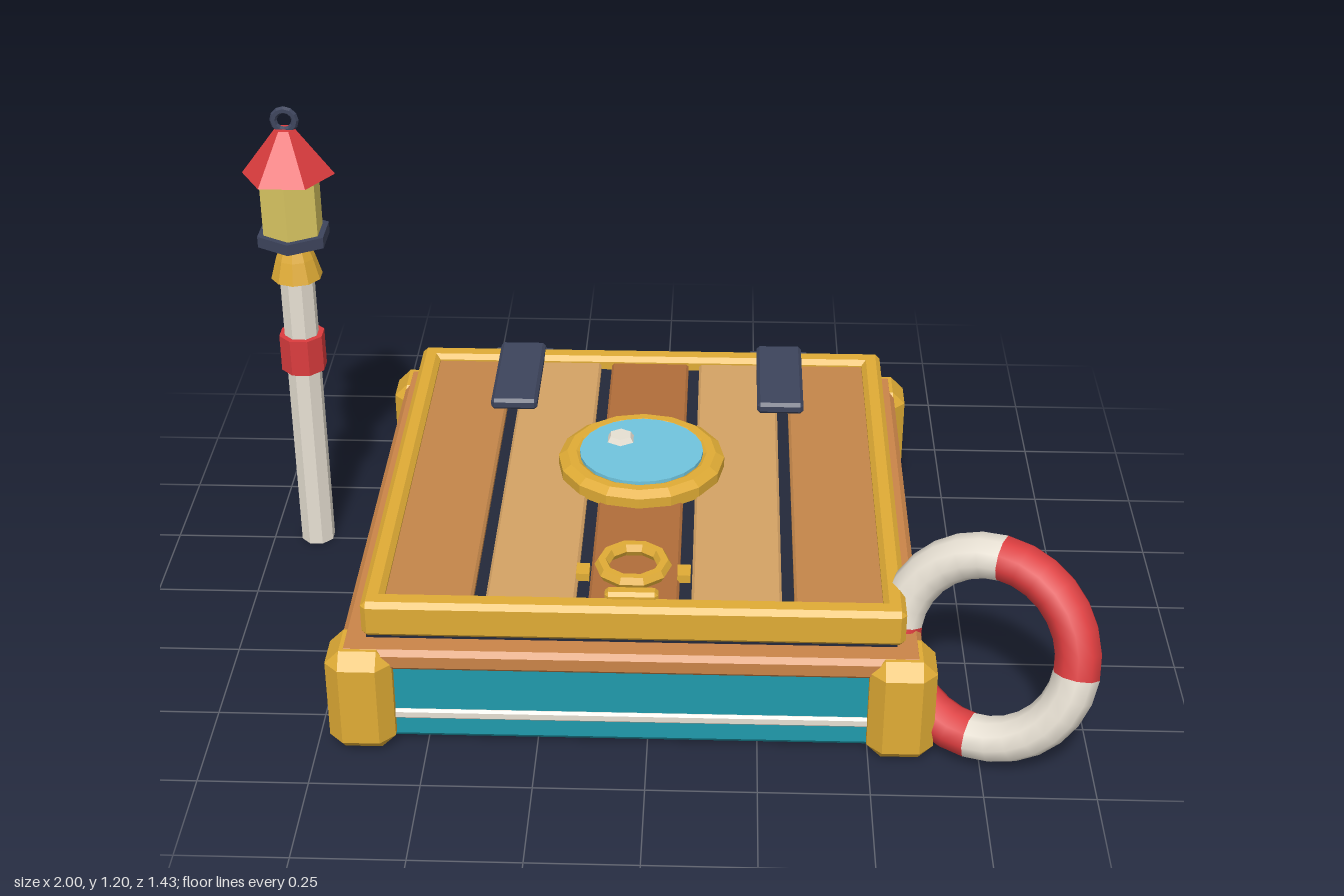
import * as THREE from 'three';
import { ConvexGeometry } from 'three/addons/geometries/ConvexGeometry.js';

const COLORS = {
  gold: 0xdfab35, teal: 0x1f9aac, navy: 0x3d445c, gap: 0x23283a, red: 0xdb3c3e, white: 0xe6dfd2,
  rim: 0xca8448, oak: 0xc4864a, pale: 0xd4a264, dark: 0xb06d3a, glass: 0x70c4dd, lamp: 0xdac762,
};
const mats = {};
function mat(color, flat = true) {
  const key = color + flat;
  return (mats[key] ??= new THREE.MeshStandardMaterial({ color: COLORS[color], flatShading: flat }));
}

function add(parent, name, geometry, color, x = 0, y = 0, z = 0, flat = true) {
  const mesh = new THREE.Mesh(geometry, mat(color, flat));
  mesh.name = name;
  mesh.position.set(x, y, z);
  parent.add(mesh);
  return mesh;
}

// Box with all twelve edges chamfered by c
function chamferBox(w, h, d, c) {
  const pts = [];
  for (const sx of [-1, 1]) for (const sy of [-1, 1]) for (const sz of [-1, 1]) {
    const x = w / 2, y = h / 2, z = d / 2;
    pts.push(new THREE.Vector3(sx * x, sy * (y - c), sz * (z - c)));
    pts.push(new THREE.Vector3(sx * (x - c), sy * y, sz * (z - c)));
    pts.push(new THREE.Vector3(sx * (x - c), sy * (y - c), sz * z));
  }
  return new ConvexGeometry(pts);
}

const lathe = (pts, sides) => new THREE.LatheGeometry(pts.map(p => new THREE.Vector2(...p)), sides);
const prism = (rTop, rBottom, h, sides) => new THREE.CylinderGeometry(rTop, rBottom, h, sides);

function createBase() {
  const g = new THREE.Group();
  g.name = 'base';
  add(g, 'body', chamferBox(1.26, 0.23, 1.26, 0.02), 'teal', 0, 0.12, 0);
  add(g, 'whiteStripe', chamferBox(1.275, 0.026, 1.275, 0.006), 'white', 0, 0.081, 0);
  add(g, 'woodRim', chamferBox(1.305, 0.053, 1.305, 0.012), 'rim', 0, 0.237, 0);
  add(g, 'lidSeam', new THREE.BoxGeometry(1.19, 0.02, 1.19), 'gap', 0, 0.266, 0);
  for (const sx of [-1, 1]) for (const sz of [-1, 1])
    add(g, 'cornerCap', chamferBox(0.15, 0.263, 0.15, 0.033), 'gold', sx * 0.608, 0.1315, sz * 0.608);
  return g;
}

function createLid() {
  const g = new THREE.Group();
  g.name = 'lid';
  add(g, 'lidFloor', new THREE.BoxGeometry(1.16, 0.05, 1.16), 'gap', 0, 0.302, 0);
  // Gold frame
  for (const s of [-1, 1]) {
    add(g, 'frameSide', chamferBox(0.05, 0.09, 1.215, 0.012), 'gold', s * 0.583, 0.316, 0);
    add(g, 'frameEnd', chamferBox(1.215, 0.09, 0.055, 0.012), 'gold', 0, 0.316, s * 0.581);
  }
  // Planks separated by dark gaps
  ['oak', 'pale', 'dark', 'pale', 'oak'].forEach((color, i) =>
    add(g, 'plank', chamferBox(0.203, 0.05, 1.13, 0.006), color, (i - 2) * 0.231, 0.32, 0));
  // Hinges along the back edge
  for (const s of [-1, 1]) {
    add(g, 'hingeStrap', chamferBox(0.118, 0.03, 0.32, 0.008), 'navy', s * 0.34, 0.36, -0.455);
    add(g, 'hingeLeaf', new THREE.BoxGeometry(0.118, 0.04, 0.03), 'navy', s * 0.34, 0.33, -0.615);
    add(g, 'hingeBarrel', prism(0.033, 0.033, 0.15, 8), 'navy', s * 0.34, 0.31, -0.633).rotation.z = Math.PI / 2;
  }
  return g;
}

function createPorthole() {
  const g = new THREE.Group();
  g.name = 'porthole';
  add(g, 'portholeRing', lathe([[0.15, 0.34], [0.15, 0.378], [0.16, 0.384], [0.182, 0.384],
    [0.203, 0.37], [0.203, 0.34]].reverse(), 16), 'gold');
  add(g, 'portholeGlass', prism(0.151, 0.151, 0.047, 24), 'glass', 0, 0.3645, 0);
  add(g, 'glassStud', prism(0.028, 0.037, 0.014, 6), 'white', -0.053, 0.394, -0.05);
  return g;
}

function createPullRing() {
  const g = new THREE.Group();
  g.name = 'pullRing';
  add(g, 'ring', new THREE.TorusGeometry(0.071, 0.017, 6, 10), 'gold', 0, 0.38, 0).rotation.x = Math.PI / 2;
  add(g, 'ringMount', chamferBox(0.12, 0.035, 0.035, 0.008), 'gold', 0, 0.358, 0.095);
  for (const s of [-1, 1])
    add(g, 'ringBracket', new THREE.BoxGeometry(0.03, 0.02, 0.045), 'gold', s * 0.115, 0.347, -0.015);
  return g;
}

function createLampPost() {
  const g = new THREE.Group();
  g.name = 'lampPost';
  add(g, 'post', prism(0.043, 0.043, 0.76, 8), 'white', 0, 0.38, 0).rotation.y = Math.PI / 8;
  add(g, 'redBand', prism(0.057, 0.057, 0.095, 8), 'red', 0, 0.552, 0).rotation.y = Math.PI / 8;
  add(g, 'postCap', lathe([[0, 0.757], [0.063, 0.757], [0.048, 0.81], [0.036, 0.842], [0.02, 0.856], [0, 0.858]], 10), 'gold');
  add(g, 'lanternBase', prism(0.092, 0.092, 0.028, 6), 'navy', 0, 0.868, 0);
  add(g, 'lanternGlass', prism(0.076, 0.076, 0.15, 6), 'lamp', 0, 0.957, 0);
  add(g, 'lanternRoof', prism(0.024, 0.112, 0.115, 6), 'red', 0, 1.088, 0).rotation.y = Math.PI / 6;
  add(g, 'lanternLoop', new THREE.TorusGeometry(0.026, 0.009, 6, 12), 'navy', 0, 1.167, 0);
  return g;
}

// Ring of four alternating quarters, leaning on the front corner
function createLifeRing() {
  const g = new THREE.Group();
  g.name = 'lifeRing';
  for (let i = 0; i < 4; i++) {
    const part = add(g, 'ringQuarter', new THREE.TorusGeometry(0.21, 0.053, 10, 7, Math.PI / 2),
      i % 2 ? 'white' : 'red', 0, 0, 0, false);
    part.rotation.z = i * Math.PI / 2;
  }
  g.rotation.set(-0.317, -0.464, 0, 'YXZ');
  return g;
}

export function createModel() {
  const model = new THREE.Group();
  model.name = 'dockHatch';
  const place = (part, x, y, z) => { part.position.set(x, y, z); model.add(part); };
  place(createBase(), -0.037, 0, -0.037);
  place(createLid(), -0.033, 0, -0.037);
  place(createPorthole(), -0.037, 0, -0.075);
  place(createPullRing(), -0.037, 0, 0.42);
  place(createLampPost(), -0.888, 0, -0.262);
  place(createLifeRing(), 0.757, 0.262, 0.55);
  return model;
}
